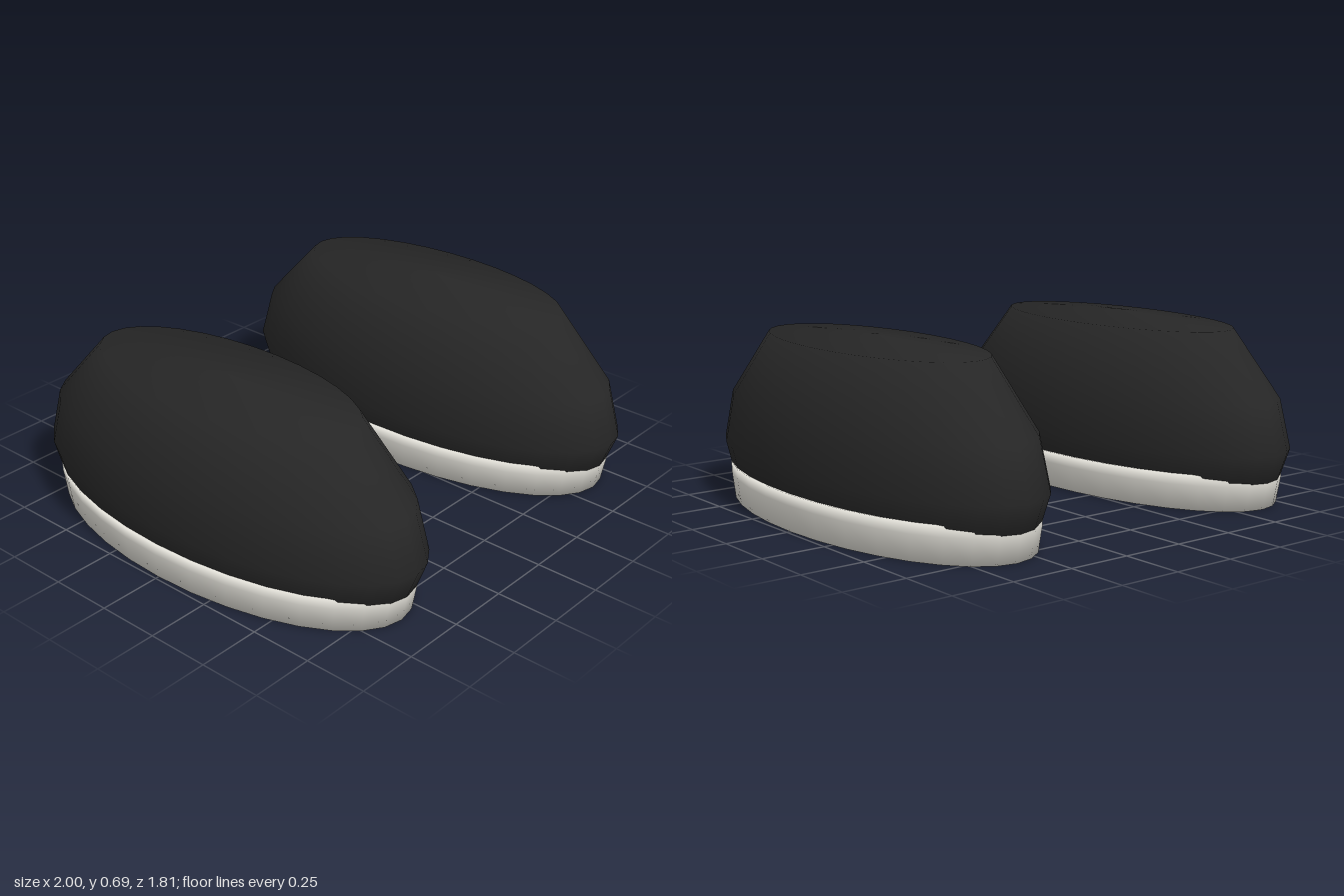
import * as THREE from 'three';

export function createModel() {
  const model = new THREE.Group();
  const black = new THREE.MeshStandardMaterial({ color: 0x262626 });
  black.name = 'black upper';
  const offWhite = new THREE.MeshStandardMaterial({ color: 0xe6e4dc });
  offWhite.name = 'off-white sole';

  // Turned profile [half length, height], squashed across to an ellipse
  function ellipticalLathe(profile, widthRatio) {
    const points = profile.map(([r, y]) => new THREE.Vector2(r, y));
    return new THREE.LatheGeometry(points, 32).scale(widthRatio, 1, 1);
  }

  const upperGeometry = ellipticalLathe([
    [0, 0.06], [0.842, 0.06], [0.905, 0.22], [0.85, 0.41], [0.615, 0.665], [0, 0.695],
  ], 0.436);
  const soleGeometry = ellipticalLathe([
    [0, 0], [0.84, 0], [0.86, 0.1], [0.862, 0.143], [0, 0.145],
  ], 0.453);

  // Matching left and right shoes
  for (const [name, side] of [['leftShoe', 1], ['rightShoe', -1]]) {
    const shoe = new THREE.Group();
    shoe.name = name;
    const upper = new THREE.Mesh(upperGeometry, black);
    upper.name = 'upper';
    const sole = new THREE.Mesh(soleGeometry, offWhite);
    sole.name = 'sole';
    shoe.add(upper, sole);
    shoe.position.x = side * 0.605;
    model.add(shoe);
  }
  return model;
}
